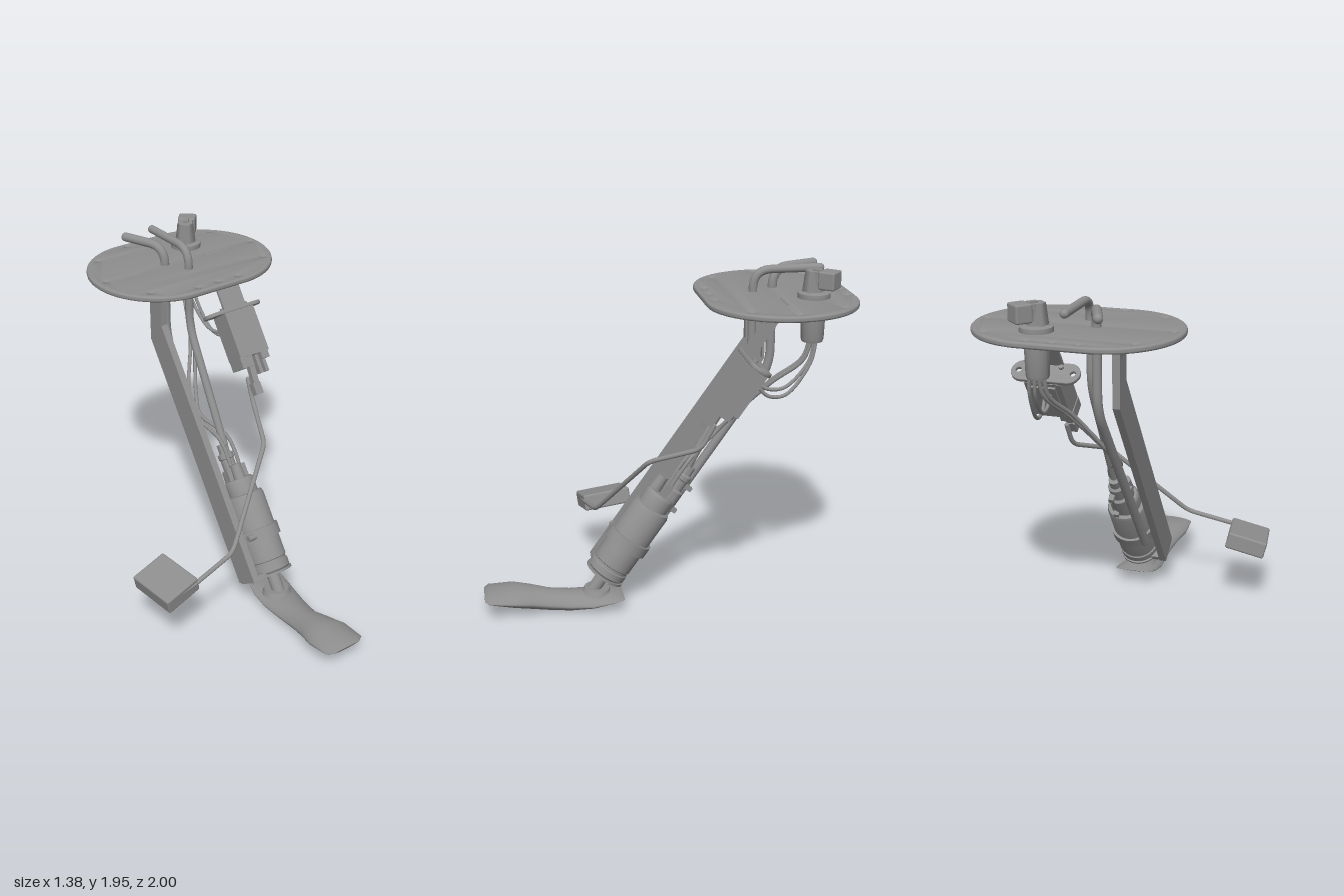
import * as THREE from 'three';
import { toCreasedNormals } from 'three/addons/utils/BufferGeometryUtils.js';
import { RoundedBoxGeometry } from 'three/addons/geometries/RoundedBoxGeometry.js';

const metal = new THREE.MeshStandardMaterial({ color: 0x8e8e8e, side: THREE.DoubleSide });
metal.name = 'grey metal';
const TILT = -0.612; // lean of the pump, bracket and level sender
const V = (a) => new THREE.Vector3(...a);

function add(parent, name, geometry, pos = [0, 0, 0], rot = [0, 0, 0]) {
  const mesh = new THREE.Mesh(geometry, metal);
  mesh.name = name;
  mesh.position.set(...pos);
  mesh.rotation.set(...rot);
  parent.add(mesh);
  return mesh;
}

function group(parent, name, pos, rot = [0, 0, 0]) {
  const g = new THREE.Group();
  g.name = name;
  g.position.set(...pos);
  g.rotation.set(...rot);
  parent.add(g);
  return g;
}

const box = (x, y, z) => new THREE.BoxGeometry(x, y, z);
const cyl = (top, bottom, h, n = 28) => new THREE.CylinderGeometry(top, bottom, h, n);
const lathe = (pts) => toCreasedNormals(
  new THREE.LatheGeometry(pts.map((p) => new THREE.Vector2(...p)), 40), 0.6);

// Tube through straight runs joined by rounded corners, with closed ends
function bentTube(parent, name, pts, r, bend) {
  const p = pts.map(V);
  const path = new THREE.CurvePath();
  let from = p[0];
  for (let i = 1; i < p.length - 1; i++) {
    const back = p[i - 1].clone().sub(p[i]);
    const on = p[i + 1].clone().sub(p[i]);
    const b = Math.min(bend, back.length() * 0.48, on.length() * 0.48);
    const a = p[i].clone().addScaledVector(back.normalize(), b);
    const c = p[i].clone().addScaledVector(on.normalize(), b);
    path.add(new THREE.LineCurve3(from, a));
    path.add(new THREE.QuadraticBezierCurve3(a, p[i], c));
    from = c;
  }
  path.add(new THREE.LineCurve3(from, p[p.length - 1]));
  add(parent, name, new THREE.TubeGeometry(path, 90, r, 14));
  for (const e of [pts[0], pts[pts.length - 1]]) add(parent, name + 'End', new THREE.SphereGeometry(r, 14, 8), e);
}

function wire(parent, name, pts, r) {
  add(parent, name, new THREE.TubeGeometry(new THREE.CatmullRomCurve3(pts.map(V)), 50, r, 8));
}

// Flat plate outlined in z and y, spanning x0 to x1
function sidePlate(parent, name, pts, x0, x1) {
  const s = new THREE.Shape(pts.map((p) => new THREE.Vector2(...p)));
  const g = new THREE.ExtrudeGeometry(s, { depth: x1 - x0, bevelEnabled: false });
  g.rotateY(-Math.PI / 2);
  add(parent, name, g, [x1, 0, 0]);
}

// Plate lying flat, outlined in x and z, from y = 0 up to h
function flatPlate(shape, h, bevel) {
  const g = new THREE.ExtrudeGeometry(shape, {
    depth: h - 2 * bevel, bevelEnabled: bevel > 0, bevelSize: bevel, bevelThickness: bevel,
    bevelOffset: -bevel, bevelSegments: 3, curveSegments: 32,
  });
  g.rotateX(-Math.PI / 2);
  g.translate(0, bevel, 0);
  return toCreasedNormals(g, 0.6);
}

function hole(shape, x, y, r) {
  const h = new THREE.Path();
  h.absarc(x, y, r, 0, Math.PI * 2, true);
  shape.holes.push(h);
}

function coverPlate(root) {
  const s = new THREE.Shape();
  s.moveTo(-0.16, -0.4);
  s.lineTo(0.16, -0.4);
  s.absellipse(0.16, 0, 0.38, 0.4, -Math.PI / 2, Math.PI / 2);
  s.lineTo(-0.16, 0.4);
  s.absellipse(-0.16, 0, 0.38, 0.4, Math.PI / 2, Math.PI * 1.5);
  for (const x of [-0.125, 0.008, 0.14]) for (const y of [-0.352, 0.357]) hole(s, x, y, 0.014);
  for (const [x, y] of [[0.395, 0.266], [0.495, 0], [0.415, -0.22], [-0.368, -0.262], [-0.484, 0], [-0.373, 0.27]]) hole(s, x, y, 0.014);
  add(root, 'coverPlate', flatPlate(s, 0.032, 0.012), [0.14, 1.768, -0.6]);
}

function bracket(root) {
  const front = [[0.385, 0.256], [-0.49, 1.5], [-0.49, 1.77]];
  const rear = [[-0.6, 1.77], [-0.6, 1.38], [0.255, 0.164]];
  sidePlate(root, 'bracketWeb', [...front, ...rear], -0.07, -0.058);
  const t = 0.013;
  sidePlate(root, 'bracketFrontFlange', [...front,
    [-0.49 - t, 1.77], [-0.49 - t, 1.496], [0.374, 0.248]], -0.07, -0.03);
  sidePlate(root, 'bracketRearFlange', [...rear,
    [0.266, 0.172], [-0.6 + t, 1.384], [-0.6 + t, 1.77]], -0.07, -0.03);
  // Foot welded under the cover, with a small gusset
  add(root, 'bracketFoot', box(0.2, 0.035, 0.12), [-0.13, 1.752, -0.545]);
  const s = new THREE.Shape([[-0.1, 1.74], [-0.03, 1.74], [-0.03, 1.64], [-0.07, 1.64], [-0.075, 1.71]].map((p) => new THREE.Vector2(...p)));
  add(root, 'bracketGusset', new THREE.ExtrudeGeometry(s, { depth: 0.11, bevelEnabled: false }), [0, 0, -0.6]);
}

function pump(root) {
  const g = group(root, 'pump', [0.11, 0.21, 0.32], [TILT, 0, 0]);
  add(g, 'pumpBody', lathe([[0, 0], [0.1, 0], [0.113, 0.012], [0.113, 0.05], [0.106, 0.055],
    [0.106, 0.07], [0.112, 0.075], [0.112, 0.45], [0.105, 0.47], [0.086, 0.475], [0.086, 0.55], [0.076, 0.565], [0, 0.565]]));
  add(g, 'pumpClamp', lathe([[0.11, 0.2], [0.127, 0.2], [0.127, 0.265], [0.11, 0.265], [0.11, 0.2]]));
  add(g, 'clampTab', box(0.1, 0.065, 0.05), [-0.125, 0.232, -0.02]);
  add(g, 'clampScrew', cyl(0.018, 0.018, 0.05, 12), [-0.1, 0.232, 0.09], [0, 0, Math.PI / 2]);
  add(g, 'lowerSupport', cyl(0.118, 0.118, 0.012, 36), [0, -0.004, 0]);
  add(g, 'supportTab', box(0.12, 0.03, 0.14), [-0.115, 0.004, 0]);
  add(g, 'inletStem', cyl(0.036, 0.036, 0.16), [0, -0.07, 0]);
  // Outlet neck and the fittings on the cap
  add(g, 'outletNeck', lathe([[0, 0.5], [0.055, 0.5], [0.055, 0.62], [0.04, 0.63], [0.04, 0.69],
    [0.046, 0.695], [0.046, 0.72], [0.032, 0.73], [0.032, 0.78], [0, 0.78]]), [0, 0, -0.045]);
  add(g, 'reliefPort', cyl(0.03, 0.036, 0.11, 20), [-0.015, 0.595, 0.045]);
  for (const x of [-0.045, 0.05]) add(g, 'terminal', box(0.035, 0.08, 0.03), [x, 0.6, 0]);
  for (const y of [0.52, 0.67]) add(g, 'hoseClip', box(0.03, 0.025, 0.04), [0.02, y, -0.1]);
}

// Soft pillow-shaped strainer lofted from lens sections:
// z, centre x, half width, rim y, top y, bottom y
function strainer(root) {
  const rows = [
    [1.0, 0.095, 0.09, 0.12, 0.125, 0.112], [0.975, 0.094, 0.128, 0.118, 0.14, 0.095],
    [0.84, 0.094, 0.133, 0.105, 0.162, 0.052], [0.74, 0.097, 0.108, 0.085, 0.15, 0.028],
    [0.64, 0.1, 0.09, 0.06, 0.126, 0.01], [0.52, 0.108, 0.1, 0.052, 0.112, 0.004],
    [0.4, 0.115, 0.115, 0.055, 0.108, 0.02], [0.3, 0.122, 0.118, 0.075, 0.103, 0.05],
    [0.24, 0.13, 0.11, 0.088, 0.096, 0.08], [0.225, 0.135, 0.09, 0.09, 0.092, 0.088]];
  const n = 28, pos = [], idx = [];
  for (const [z, cx, w, rim, top, bottom] of rows) {
    for (let j = 0; j < n; j++) {
      const a = (j / n) * Math.PI * 2, s = Math.sin(a);
      const lift = Math.pow(Math.abs(s), 1.3) * (s > 0 ? top - rim : bottom - rim);
      pos.push(cx + w * Math.cos(a), rim + lift, z);
    }
  }
  for (let i = 0; i < rows.length - 1; i++) {
    for (let j = 0; j < n; j++) {
      const a = i * n + j, b = i * n + (j + 1) % n;
      idx.push(a, a + n, b, b, a + n, b + n);
    }
  }
  for (let j = 1; j < n - 1; j++) {
    const e = (rows.length - 1) * n;
    idx.push(0, j, j + 1, e, e + j + 1, e + j);
  }
  const geo = new THREE.BufferGeometry();
  geo.setAttribute('position', new THREE.Float32BufferAttribute(pos, 3));
  geo.setIndex(idx);
  geo.computeVertexNormals();
  add(root, 'strainer', geo);
  add(root, 'strainerCollar', cyl(0.07, 0.085, 0.03), [0.11, 0.108, 0.37], [-0.1, 0, 0]);
}

function connector(root) {
  const g = group(root, 'connector', [0.296, 0, -0.77]);
  add(g, 'connectorBody', lathe([[0, 1.565], [0.055, 1.565], [0.06, 1.58], [0.064, 1.73], [0.078, 1.735],
    [0.08, 1.77], [0.086, 1.8], [0.084, 1.825], [0.05, 1.832], [0, 1.832]]));
  // Angled plug on top
  const plug = group(g, 'plug', [0, 0, 0], [0, 0.85, 0]);
  add(plug, 'plugStem', cyl(0.045, 0.058, 0.11, 6), [-0.005, 1.885, 0]);
  add(plug, 'plugElbow', box(0.09, 0.08, 0.07), [0.02, 1.9, 0]);
  add(plug, 'plugSocket', new RoundedBoxGeometry(0.09, 0.095, 0.1, 2, 0.01), [0.085, 1.9, 0]);
  add(plug, 'plugLatch', box(0.05, 0.015, 0.03), [0.02, 1.942, 0]);
}

function levelSender(root) {
  const g = group(root, 'levelSender', [0.385, 1.48, -0.435], [TILT, 0, 0]);
  add(g, 'senderBody', box(0.2, 0.27, 0.135), [0.005, -0.135, 0]);
  add(g, 'senderRib', box(0.14, 0.24, 0.02), [0.005, -0.14, -0.07]);
  add(g, 'senderLowerBlock', box(0.08, 0.07, 0.12), [-0.06, -0.295, 0.005]);
  add(g, 'senderSideBlock', box(0.05, 0.05, 0.1), [0.075, -0.285, 0.01]);
  const s = new THREE.Shape();
  s.absarc(0.125, 0, 0.065, -Math.PI / 2, Math.PI / 2);
  s.absarc(-0.125, 0, 0.065, Math.PI / 2, Math.PI * 1.5);
  for (const x of [-0.15, 0.15]) hole(s, x, 0, 0.016);
  add(g, 'senderFlange', flatPlate(s, 0.022, 0.004), [0, 0, 0]);
  for (const x of [-0.08, 0.08]) add(g, 'flangeRivet', cyl(0.013, 0.013, 0.015, 12), [x, 0.028, 0.03]);
  // Hanger strap up to the cover
  add(g, 'hangerStrap', box(0.15, 0.35, 0.016), [-0.01, 0.18, 0.052]);
  // Pivot clips that hold the float arm
  add(g, 'armClip', box(0.035, 0.2, 0.035), [-0.025, -0.36, 0.02], [0, 0, -0.08]);
  add(g, 'armClipEnd', box(0.05, 0.07, 0.045), [-0.036, -0.46, 0.02]);
  for (const x of [0.02, 0.06]) add(g, 'contactClip', box(0.022, 0.11, 0.04), [x, -0.33, 0.03]);
}

function floatArm(root) {
  bentTube(root, 'floatArm', [[0.352, 1.14, -0.24], [0.345, 1.01, -0.175], [0.225, 0.91, 0.085],
    [-0.18, 0.475, 0.335], [-0.45, 0.41, 0.37], [-0.62, 0.375, 0.38]], 0.013, 0.05);
  add(root, 'float', new RoundedBoxGeometry(0.225, 0.095, 0.285, 2, 0.012), [-0.562, 0.385, 0.245], [0.08, 0.14, 0.24]);
}

export function createModel() {
  const root = new THREE.Group();
  root.name = 'fuelPumpUnit';
  coverPlate(root);
  bracket(root);
  pump(root);
  strainer(root);
  connector(root);
  levelSender(root);
  floatArm(root);

  // Fuel pipes through the cover
  bentTube(root, 'returnPipe', [[-0.05, 1.905, -0.86], [0.045, 1.905, -0.612], [0.045, 1.36, -0.612],
    [0.0, 0.37, 0.055]], 0.025, 0.1);
  bentTube(root, 'supplyPipe', [[0.12, 1.915, -0.85], [0.12, 1.915, -0.488], [0.12, 1.45, -0.488],
    [0.115, 0.83, -0.15]], 0.023, 0.1);

  // Wires from the connector to the pump and the sender
  [-0.012, 0.016].forEach((o) => wire(root, 'pumpWire', [[0.28 + o, 1.58, -0.77], [0.27 + o, 1.46, -0.73],
    [0.2 + o, 1.32, -0.58], [0.07 + o, 1.08, -0.4 + o], [0.04 + o, 0.98, -0.3], [0.11 + o * 2, 0.87, -0.15], [0.12 + o * 2, 0.7, -0.03]], 0.011));
  [0.0, 0.03].forEach((o) => wire(root, 'senderWire', [[0.31 + o, 1.58, -0.78], [0.32 + o, 1.46, -0.75],
    [0.34 + o, 1.33 - o, -0.62], [0.35 + o, 1.33 - o, -0.52], [0.36 + o, 1.39, -0.44]], 0.01));
  return root;
}
